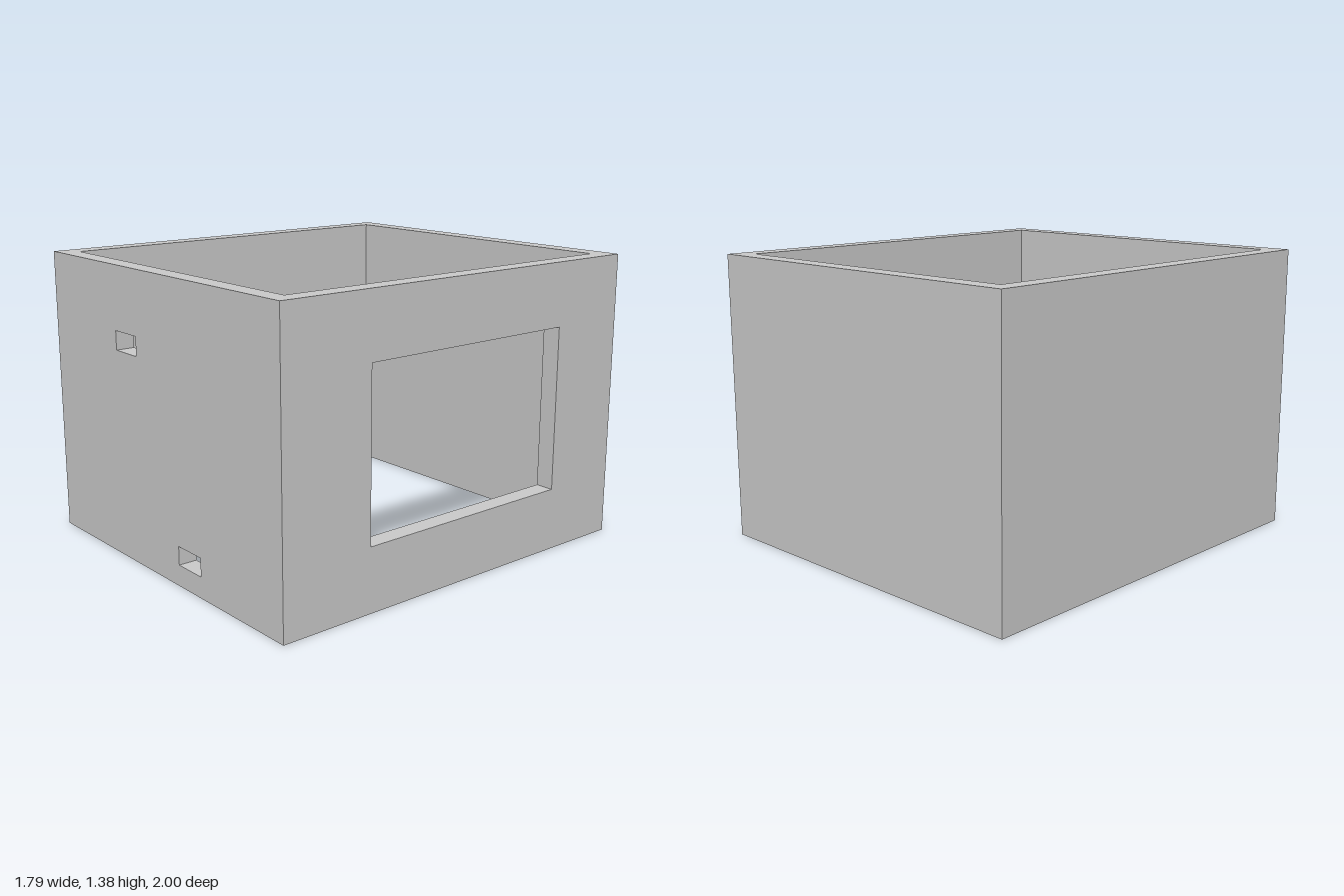
import * as THREE from 'three';
import { mergeGeometries } from 'three/addons/utils/BufferGeometryUtils.js';

const HALF_X = 0.893, HALF_Z = 1, HEIGHT = 1.38, THICK = 0.09;

function rectangle(path, [x0, y0, x1, y1]) {
  path.moveTo(x0, y0);
  path.lineTo(x1, y0);
  path.lineTo(x1, y1);
  path.lineTo(x0, y1);
  path.closePath();
  return path;
}

// A wall with rectangular openings, mitred at both ends, facing +z before turning
function wall(half, distance, angle, openings = []) {
  const shape = rectangle(new THREE.Shape(), [-half, 0, half, HEIGHT]);
  shape.holes = openings.map((o) => rectangle(new THREE.Path(), o));
  const geo = new THREE.ExtrudeGeometry(shape, { depth: THICK, bevelEnabled: false });

  // Shorten the inner face so neighbouring walls meet on the diagonal
  const pos = geo.attributes.position;
  for (let i = 0; i < pos.count; i++) {
    const x = pos.getX(i);
    if (pos.getZ(i) < THICK / 2 && Math.abs(x) > half - 1e-4) pos.setX(i, x - Math.sign(x) * THICK);
  }

  // Leave out the hidden mitre faces, so the four walls form one shell
  const kept = [];
  for (let i = 0; i < pos.count; i += 3) {
    const ends = [0, 1, 2].every((k) => Math.abs(pos.getX(i + k)) > half - THICK - 1e-4);
    const sameSide = pos.getX(i) * pos.getX(i + 1) > 0 && pos.getX(i) * pos.getX(i + 2) > 0;
    if (ends && sameSide) continue;
    for (let k = 0; k < 3; k++) kept.push(pos.getX(i + k), pos.getY(i + k), pos.getZ(i + k));
  }
  const result = new THREE.BufferGeometry();
  result.setAttribute('position', new THREE.Float32BufferAttribute(kept, 3));
  result.computeVertexNormals();
  return result.translate(0, 0, distance - THICK).rotateY(angle);
}

export function createModel() {
  const group = new THREE.Group();
  group.name = 'openBox';

  const walls = [
    // front, with two small slots
    wall(HALF_X, HALF_Z, 0, [[-0.33, 0.99, -0.158, 1.08], [0.139, 0.1, 0.311, 0.187]]),
    // left (+x), with the large window
    wall(HALF_Z, HALF_X, Math.PI / 2, [[-0.543, 0.3, 0.596, 1.08]]),
    // back and right, both plain
    wall(HALF_X, HALF_Z, Math.PI),
    wall(HALF_Z, HALF_X, -Math.PI / 2),
  ];

  const shell = new THREE.Mesh(
    mergeGeometries(walls),
    new THREE.MeshStandardMaterial({ color: 0xcccccc, flatShading: true })
  );
  shell.name = 'walls';
  group.add(shell);
  return group;
}
